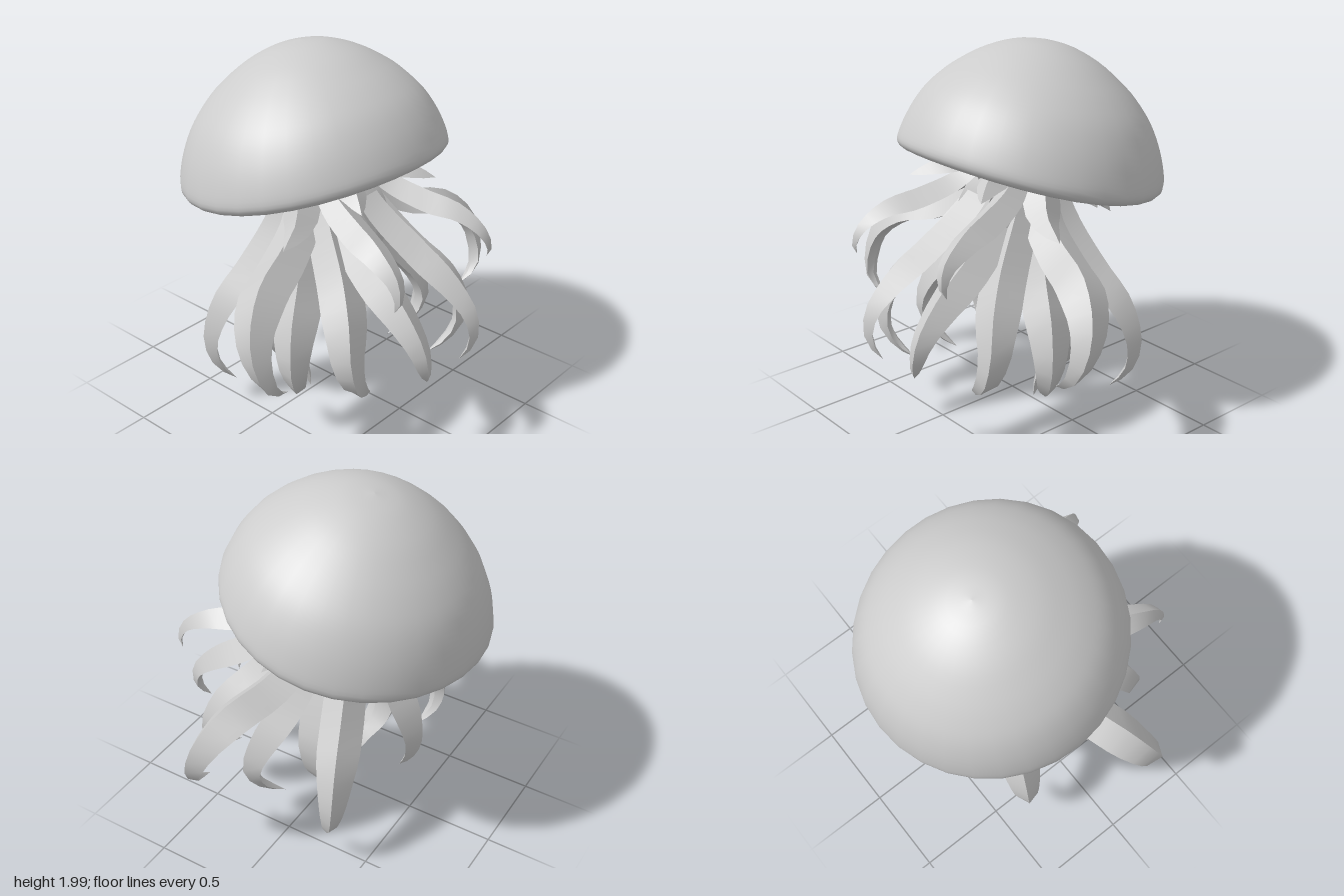
import * as THREE from 'three';

const skin = new THREE.MeshStandardMaterial({ color: 0xcccccc });
skin.name = 'grey skin';

const CENTRE_Z = -0.12; // axis the arms hang around

// Tapered arm with a ridge along its outer side; each facet is smooth along its length
function armGeometry(points, out, width, rows) {
  const curve = new THREE.CatmullRomCurve3(points.map(p => new THREE.Vector3(...p)));
  const side = new THREE.Vector3(out[0], 0, out[1]).normalize().cross(new THREE.Vector3(0, 1, 0));
  const rings = [];
  for (let i = 0; i <= rows; i++) {
    const t = i / rows;
    const p = curve.getPointAt(t);
    const tangent = curve.getTangentAt(t);
    const s = side.clone().addScaledVector(tangent, -side.dot(tangent)).normalize();
    const n = s.clone().cross(tangent);
    const swell = 0.6 + 0.4 * Math.sin(Math.min(1, t / 0.5) * Math.PI / 2);
    const w = width * swell * Math.pow(Math.min(1, (1 - t) / 0.42), 0.75) / 2;
    const corner = (a, b) => p.clone().addScaledVector(s, a * w).addScaledVector(n, b * w);
    rings.push([corner(-1, -0.25), corner(0, 0.6), corner(1, -0.25), corner(0, -0.5)]);
  }
  const pos = [], index = [];
  for (let j = 0; j < 4; j++) {
    const base = pos.length / 3;
    rings.forEach((r, i) => {
      pos.push(...r[j].toArray(), ...r[(j + 1) % 4].toArray());
      if (i === rows) return;
      const a = base + i * 2;
      index.push(a, a + 1, a + 3, a, a + 3, a + 2);
    });
  }
  const g = new THREE.BufferGeometry();
  g.setAttribute('position', new THREE.Float32BufferAttribute(pos, 3));
  g.setIndex(index);
  g.computeVertexNormals();
  return g;
}

function addArm(group, name, points, width, out, rows = 18) {
  const mid = points[Math.floor(points.length * 0.6)];
  const o = out || [mid[0], mid[2] - CENTRE_Z];
  const single = points.every(p => p[0] === 0);
  for (const m of single ? [1] : [1, -1]) {
    const mesh = new THREE.Mesh(
      armGeometry(points.map(p => [p[0] * m, p[1], p[2]]), [o[0] * m, o[1]], width, rows), skin);
    mesh.name = single ? name : (m > 0 ? 'left ' : 'right ') + name;
    group.add(mesh);
  }
}

function createBell() {
  // Outer dome and rolled rim
  const outer = new THREE.SplineCurve([
    [0.66, 0], [0.7, -0.005], [0.727, 0.03], [0.712, 0.11], [0.675, 0.21], [0.62, 0.31],
    [0.55, 0.395], [0.45, 0.485], [0.31, 0.58], [0.15, 0.645], [0, 0.665],
  ].map(p => new THREE.Vector2(...p))).getPoints(36);
  outer[outer.length - 1].x = 0;
  // Shallow underside
  const inner = [[0, 0.15], [0.2, 0.145], [0.4, 0.11], [0.55, 0.06], [0.63, 0.015]]
    .map(p => new THREE.Vector2(...p));
  const g = new THREE.LatheGeometry([...inner, ...outer], 32);
  // Lean the crown forward a little and let the sides of the rim sag
  const v = g.attributes.position;
  for (let i = 0; i < v.count; i++) {
    const y = v.getY(i), z = v.getZ(i);
    const sag = 0.055 * (1 - ((z + 0.1) / 0.68) ** 2) * Math.max(0, 1 - y / 0.45);
    v.setY(i, y - sag);
    v.setZ(i, z + 0.06 * y);
  }
  // Tip the whole bell back
  g.rotateX(-0.2);
  g.translate(0, 1.33, -0.13);
  const bell = new THREE.Mesh(g, skin);
  bell.name = 'bell';
  return bell;
}

export function createModel() {
  const model = new THREE.Group();
  model.name = 'jellyfish';
  model.add(createBell());

  // Body the arms grow from, hidden under the bell
  const core = new THREE.Mesh(new THREE.SphereGeometry(1, 20, 12), skin);
  core.name = 'body';
  core.scale.set(0.24, 0.16, 0.24);
  core.position.set(0, 1.4, -0.12);
  core.rotation.x = -0.2;
  model.add(core);

  // Long arms, mirrored in pairs
  const arms = new THREE.Group();
  arms.name = 'arms';
  addArm(arms, 'side arm', [[0.12, 1.38, -0.08], [0.28, 1.12, 0.02], [0.5, 0.99, 0.09], [0.74, 0.92, 0.18],
    [0.88, 0.79, 0.26], [0.91, 0.64, 0.32], [0.86, 0.51, 0.36], [0.73, 0.44, 0.35]], 0.25, [0.85, 0.45]);
  addArm(arms, 'upper front arm', [[0.12, 1.42, 0.02], [0.2, 1.26, 0.2], [0.27, 1.18, 0.42], [0.33, 1.14, 0.6],
    [0.36, 1.06, 0.73], [0.38, 0.97, 0.77], [0.39, 0.91, 0.75]], 0.19, [0.5, 0.85]);
  addArm(arms, 'front arm', [[0.08, 1.4, 0], [0.13, 1.12, 0.2], [0.18, 0.93, 0.43], [0.21, 0.77, 0.66],
    [0.22, 0.63, 0.79], [0.2, 0.49, 0.82], [0.14, 0.39, 0.78]], 0.23, [0.35, 0.94]);
  addArm(arms, 'outer front arm', [[0.1, 1.4, -0.05], [0.2, 1.1, 0.14], [0.3, 0.87, 0.32], [0.41, 0.7, 0.46],
    [0.47, 0.54, 0.53], [0.44, 0.4, 0.55], [0.35, 0.31, 0.53], [0.25, 0.26, 0.49]], 0.24);
  addArm(arms, 'middle arm', [[0.1, 1.4, -0.08], [0.22, 1.05, 0.01], [0.36, 0.78, 0.09], [0.5, 0.58, 0.17],
    [0.55, 0.4, 0.21], [0.49, 0.25, 0.18], [0.38, 0.15, 0.1]], 0.25, [0.8, 0.5]);
  addArm(arms, 'lower arm', [[0.08, 1.4, -0.12], [0.16, 1.05, -0.13], [0.26, 0.78, -0.15], [0.33, 0.53, -0.16],
    [0.3, 0.33, -0.13], [0.19, 0.18, -0.06], [0.16, 0.01, -0.02]], 0.34, [0.75, -0.6]);
  addArm(arms, 'outer back arm', [[0.1, 1.4, -0.16], [0.22, 1.05, -0.21], [0.38, 0.8, -0.27], [0.54, 0.6, -0.33],
    [0.61, 0.4, -0.35], [0.59, 0.24, -0.32], [0.52, 0.14, -0.25]], 0.23, [0.8, -0.4]);
  addArm(arms, 'back arm', [[0, 1.4, -0.22], [0, 1.1, -0.33], [0, 0.9, -0.4], [0, 0.7, -0.48],
    [0, 0.53, -0.51], [0, 0.4, -0.48], [0, 0.3, -0.42]], 0.24, [0, -1]);
  model.add(arms);

  // Short leaf-like frills around the base
  const frills = new THREE.Group();
  frills.name = 'frills';
  addArm(frills, 'front frill', [[0.08, 1.45, 0.06], [0.14, 1.38, 0.2], [0.22, 1.35, 0.34], [0.3, 1.31, 0.46]],
    0.17, [0.3, 0.9], 8);
  addArm(frills, 'side frill', [[0.14, 1.42, -0.05], [0.27, 1.27, 0.03], [0.38, 1.15, 0.1], [0.52, 1.08, 0.13]],
    0.2, [0.9, 0.4], 8);
  addArm(frills, 'inner frill', [[0.1, 1.4, 0.05], [0.14, 1.2, 0.16], [0.17, 1.05, 0.21], [0.13, 0.86, 0.22]],
    0.17, [0.3, 0.9], 8);
  addArm(frills, 'outer frill', [[0.2, 1.44, -0.12], [0.34, 1.36, -0.12], [0.44, 1.28, -0.14], [0.5, 1.2, -0.15]],
    0.22, [1, 0], 8);
  addArm(frills, 'back frill', [[0.14, 1.4, -0.22], [0.22, 1.24, -0.34], [0.27, 1.13, -0.4], [0.31, 1.06, -0.44]],
    0.22, [0.5, -0.8], 8);
  addArm(frills, 'rear frill', [[0.06, 1.4, -0.26], [0.1, 1.25, -0.36], [0.12, 1.15, -0.41], [0.13, 1.06, -0.42]],
    0.18, [0.2, -1], 8);
  addArm(frills, 'centre frill', [[0, 1.47, 0.08], [0, 1.43, 0.17], [0, 1.37, 0.22], [0, 1.31, 0.23]],
    0.18, [0, 1], 8);
  model.add(frills);

  return model;
}
